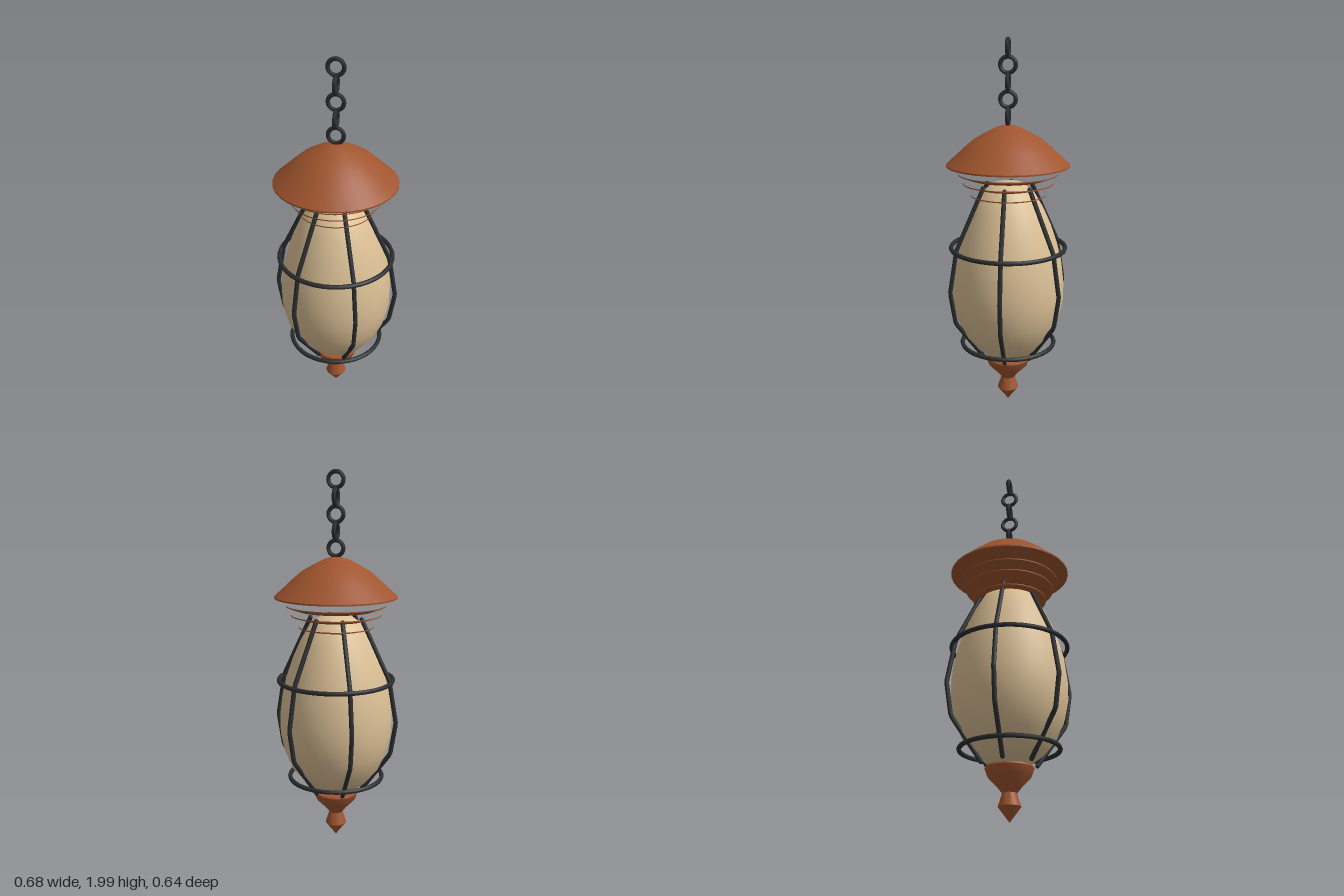
import * as THREE from 'three';
import { toCreasedNormals } from 'three/addons/utils/BufferGeometryUtils.js';

export function createModel() {
  const model = new THREE.Group();
  model.name = 'hangingLantern';

  const material = (name, color) => {
    const m = new THREE.MeshStandardMaterial({ color });
    m.name = name;
    return m;
  };
  const copper = material('copper', 0xa0552f);
  const glass = material('frostedGlass', 0xdabf95);
  const iron = material('blackIron', 0x2b2d2f);

  const add = (name, geometry, mat, parent = model) => {
    const mesh = new THREE.Mesh(geometry, mat);
    mesh.name = name;
    parent.add(mesh);
    return mesh;
  };
  // Turned parts: [radius, height] pairs listed from bottom to top
  const turned = (points, crease = 0.6) => toCreasedNormals(
    new THREE.LatheGeometry(points.map(([r, y]) => new THREE.Vector2(r, y)), 32), crease);

  // Domed cap with a closed underside
  add('cap', turned([
    [0, 1.35], [0.322, 1.35], [0.322, 1.358], [0.275, 1.4], [0.23, 1.442],
    [0.18, 1.485], [0.12, 1.52], [0.06, 1.55], [0.025, 1.56], [0, 1.56],
  ]), copper);

  // Thin tapered collars under the cap, open on top
  [
    [0.262, 0.205, 1.312, 0.027],
    [0.238, 0.165, 1.262, 0.027],
    [0.198, 0.165, 1.199, 0.014],
  ].forEach(([outer, inner, top, height], i) => add(`collar${i + 1}`, turned([
    [inner, top - height], [outer, top - 0.006], [outer, top],
  ]), copper));

  // Egg-shaped glass
  const eggProfile = [
    [0, 0.268], [0.1, 0.288], [0.175, 0.345], [0.24, 0.425], [0.28, 0.52],
    [0.3, 0.62], [0.301, 0.72], [0.288, 0.83], [0.263, 0.93], [0.229, 1.03],
    [0.189, 1.12], [0.138, 1.21], [0.075, 1.258], [0, 1.265],
  ];
  add('glass', turned(eggProfile, 1.2), glass);

  // Finial below the glass
  add('finial', turned([
    [0, 0.01], [0.057, 0.085], [0.037, 0.15], [0.06, 0.18], [0.108, 0.23],
    [0.123, 0.27], [0.12, 0.278], [0, 0.278],
  ]), copper);

  // Six bent cage bars
  const barPath = new THREE.CurvePath();
  const barPoints = [[0.14, 1.24], [0.292, 0.92], [0.331, 0.69], [0.303, 0.515], [0.145, 0.295]]
    .map(([r, y]) => new THREE.Vector3(r, y, 0));
  for (let i = 1; i < barPoints.length; i++) {
    barPath.add(new THREE.LineCurve3(barPoints[i - 1], barPoints[i]));
  }
  const barGeometry = new THREE.TubeGeometry(barPath, 48, 0.012, 8, false);
  const cage = new THREE.Group();
  cage.name = 'cage';
  model.add(cage);
  for (let i = 0; i < 6; i++) {
    const bar = add(`cageBar${i + 1}`, barGeometry, iron, cage);
    bar.rotation.y = i * Math.PI / 3;
    // End caps for the bar
    [barPoints[0], barPoints[4]].forEach((p) => {
      const end = add('barEnd', new THREE.SphereGeometry(0.012, 8, 6), iron, bar);
      end.position.copy(p);
    });
  }

  // Horizontal cage hoops
  [['upperHoop', 0.305, 0.91], ['lowerHoop', 0.252, 0.365]].forEach(([name, radius, y]) => {
    const hoop = add(name, new THREE.TorusGeometry(radius, 0.012, 8, 40), iron, cage);
    hoop.rotation.x = Math.PI / 2;
    hoop.position.y = y;
  });

  // Chain of alternating round links
  const linkGeometry = new THREE.TorusGeometry(0.04, 0.011, 6, 20);
  for (let i = 0; i < 5; i++) {
    const link = add(`chainLink${i + 1}`, linkGeometry, iron);
    link.position.y = 1.605 + i * 0.086;
    link.rotation.y = (i % 2) * Math.PI / 2;
  }

  return model;
}
